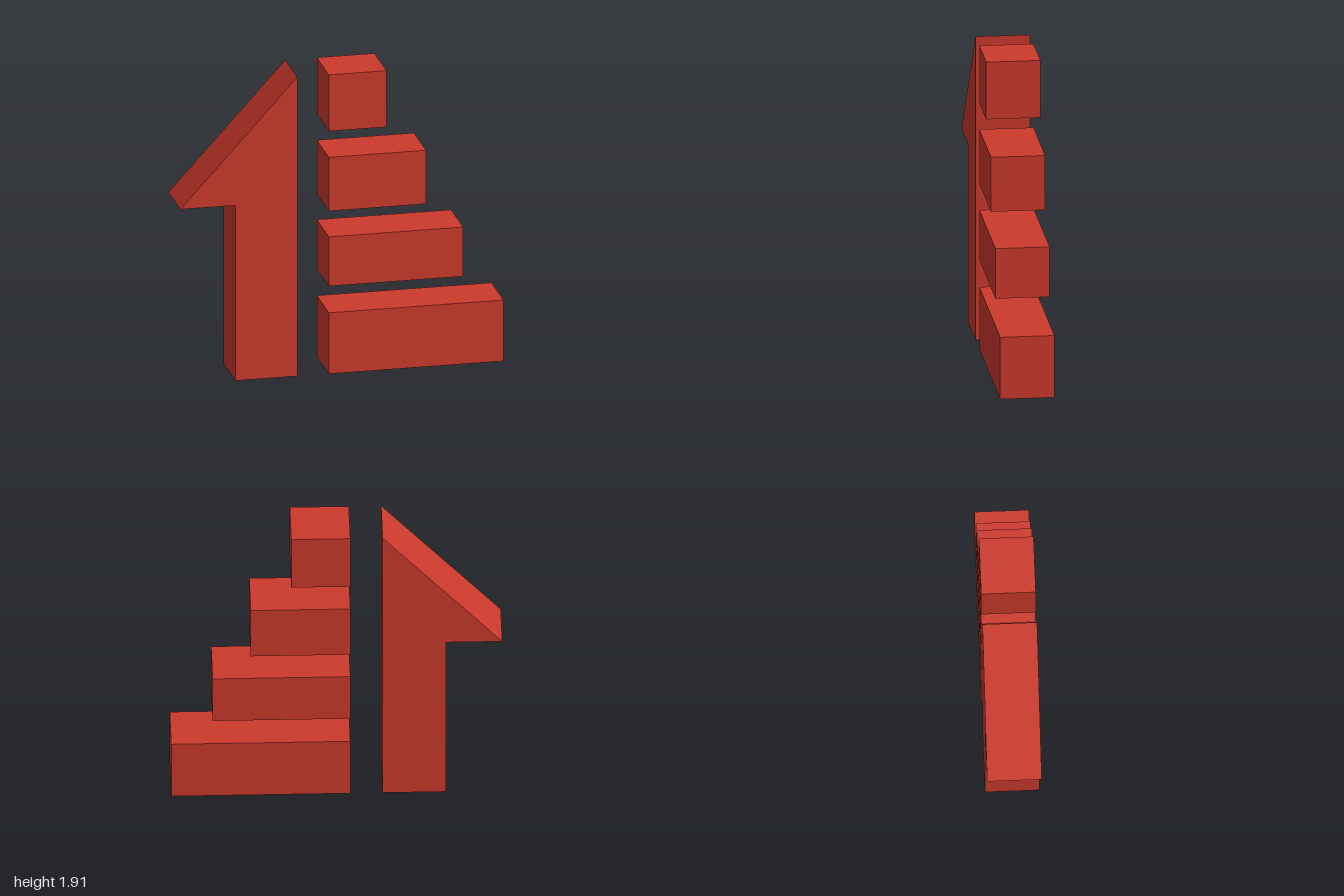
import * as THREE from 'three';

const DEPTH = 0.33;

export function createModel() {
  const model = new THREE.Group();
  const red = new THREE.MeshStandardMaterial({ color: 0xcc3a2c });
  red.name = 'red';

  // Half arrow pointing up, extruded front to back
  const outline = new THREE.Shape([
    [-0.66, 0], [-0.277, 0], [-0.277, 1.91], [-1, 1.12], [-0.66, 1.12],
  ].map(([x, y]) => new THREE.Vector2(x, y)));
  const arrowGeometry = new THREE.ExtrudeGeometry(outline, { depth: DEPTH, bevelEnabled: false });
  arrowGeometry.translate(0, 0, -DEPTH / 2);
  const arrow = new THREE.Mesh(arrowGeometry, red);
  arrow.name = 'halfArrow';
  model.add(arrow);

  // Stacked bars sharing a left edge, growing longer downwards: [right end, bottom, top]
  const barStart = -0.082;
  const bars = new THREE.Group();
  bars.name = 'bars';
  [
    [1, 0, 0.39],
    [0.75, 0.56, 0.875],
    [0.52, 1.04, 1.383],
    [0.275, 1.55, 1.91],
  ].forEach(([end, bottom, top], i) => {
    const bar = new THREE.Mesh(new THREE.BoxGeometry(end - barStart, top - bottom, DEPTH), red);
    bar.position.set((barStart + end) / 2, (bottom + top) / 2, 0);
    bar.name = `bar${i + 1}`;
    bars.add(bar);
  });
  model.add(bars);

  return model;
}
